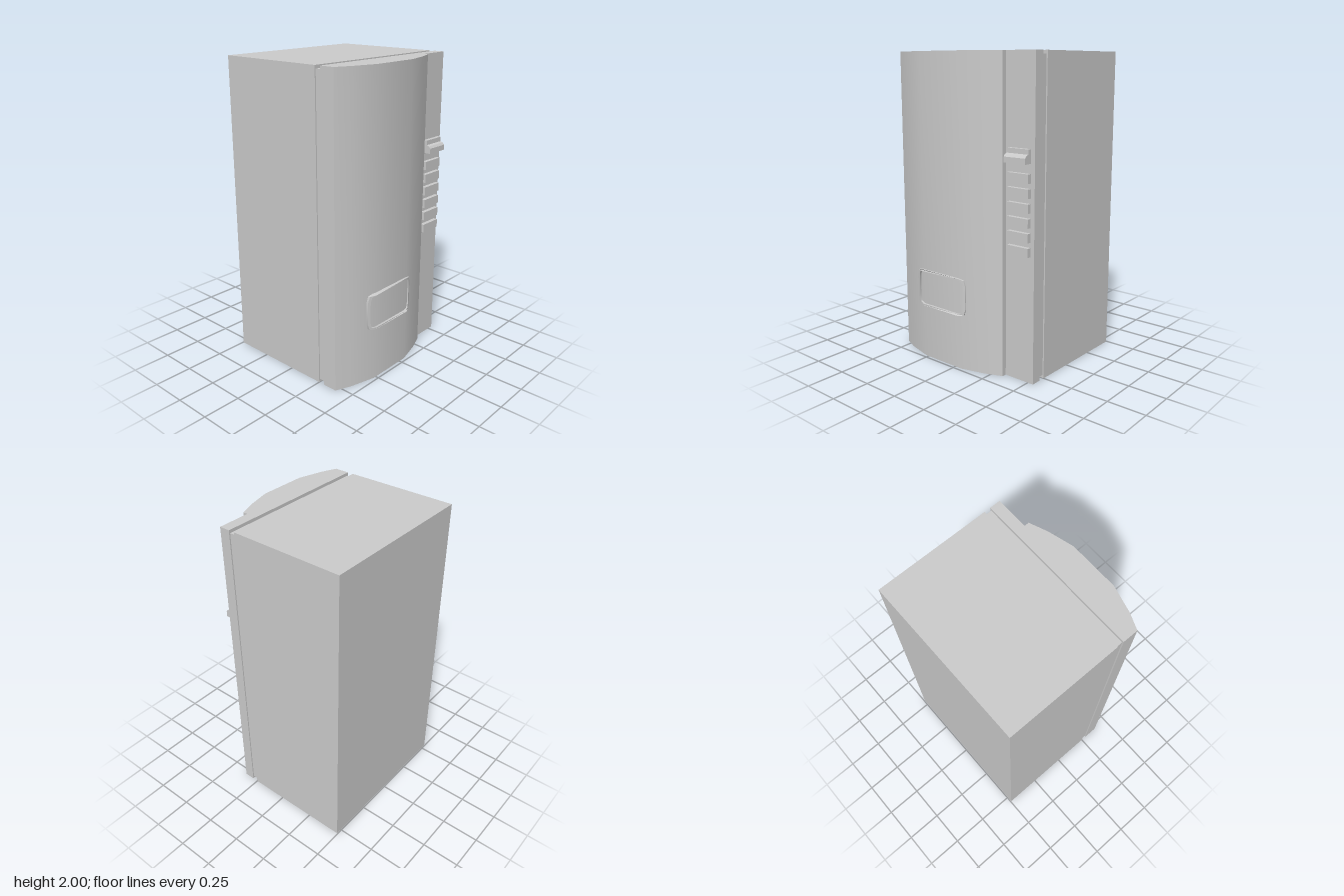
import * as THREE from 'three';
import { toCreasedNormals } from 'three/addons/utils/BufferGeometryUtils.js';

const material = new THREE.MeshStandardMaterial({ color: 0xcccccc });

function add(parent, name, geometry) {
  const mesh = new THREE.Mesh(geometry, material);
  mesh.name = name;
  parent.add(mesh);
  return mesh;
}

// Box given by its lower and upper limits on each axis
function box(parent, name, [x0, x1], [y0, y1], [z0, z1]) {
  const mesh = add(parent, name, new THREE.BoxGeometry(x1 - x0, y1 - y0, z1 - z0));
  mesh.position.set((x0 + x1) / 2, (y0 + y1) / 2, (z0 + z1) / 2);
  return mesh;
}

const shapeOf = (points) => new THREE.Shape(points.map(([x, y]) => new THREE.Vector2(x, y)));
const extrude = (shape, depth) => new THREE.ExtrudeGeometry(shape, { depth, bevelEnabled: false });

// Barrel-sided rectangle with clipped corners
function framePoints(w, h) {
  const quarter = [[w, h * 0.62], [w * 0.95, h * 0.92], [w * 0.78, h]];
  const top = [...quarter, ...quarter.map(([x, y]) => [-x, y]).reverse()];
  return [...top, ...top.map(([x, y]) => [-x, -y])];
}

export function createModel() {
  const model = new THREE.Group();
  model.name = 'vendingMachine';

  // Cabinet and the recessed seam behind the door
  box(model, 'cabinet', [-0.54, 0.54], [0, 2], [-0.495, 0.25]);
  box(model, 'doorSeam', [-0.532, 0.532], [0.02, 1.98], [0.25, 0.29]);

  // Door: bowed panel beside a flat control strip, extruded upward
  const plan = [
    [-0.54, 0.29], [-0.54, 0.39], [-0.44, 0.432], [-0.27, 0.478], [0.05, 0.478],
    [0.21, 0.435], [0.325, 0.39], [0.325, 0.36], [0.54, 0.36], [0.54, 0.29],
  ];
  const door = extrude(shapeOf(plan.map(([x, z]) => [x, -z])), 2).rotateX(-Math.PI / 2);
  add(model, 'door', toCreasedNormals(door, 0.5));

  // Raised frame of the dispensing hatch, bent back at its ends to follow the door
  const frameShape = shapeOf(framePoints(0.21, 0.123));
  frameShape.holes.push(shapeOf(framePoints(0.193, 0.112)));
  const frame = extrude(frameShape, 0.027);
  const pos = frame.attributes.position;
  for (let i = 0; i < pos.count; i++) {
    const bend = Math.max(0, Math.abs(pos.getX(i)) - 0.16) * 0.36;
    pos.setZ(i, pos.getZ(i) - bend);
  }
  frame.computeVertexNormals();
  add(model, 'hatchFrame', toCreasedNormals(frame, 0.6)).position.set(-0.12, 0.482, 0.466);

  // Column of selection buttons
  const buttons = new THREE.Group();
  buttons.name = 'selectionButtons';
  model.add(buttons);
  for (let i = 0; i < 6; i++) {
    const y = 0.832 + i * 0.0882;
    box(buttons, 'button', [0.354, 0.512], [y - 0.028, y + 0.028], [0.355, 0.387]);
  }

  // Coin unit: flat plate above a projecting lip, profile in z and y
  const profile = [
    [0.355, 1.36], [0.416, 1.36], [0.416, 1.395], [0.405, 1.409],
    [0.387, 1.415], [0.387, 1.445], [0.355, 1.445],
  ];
  const coin = extrude(shapeOf(profile.map(([z, y]) => [-z, y])), 0.158).rotateY(Math.PI / 2);
  add(model, 'coinUnit', coin).position.x = 0.354;

  return model;
}
